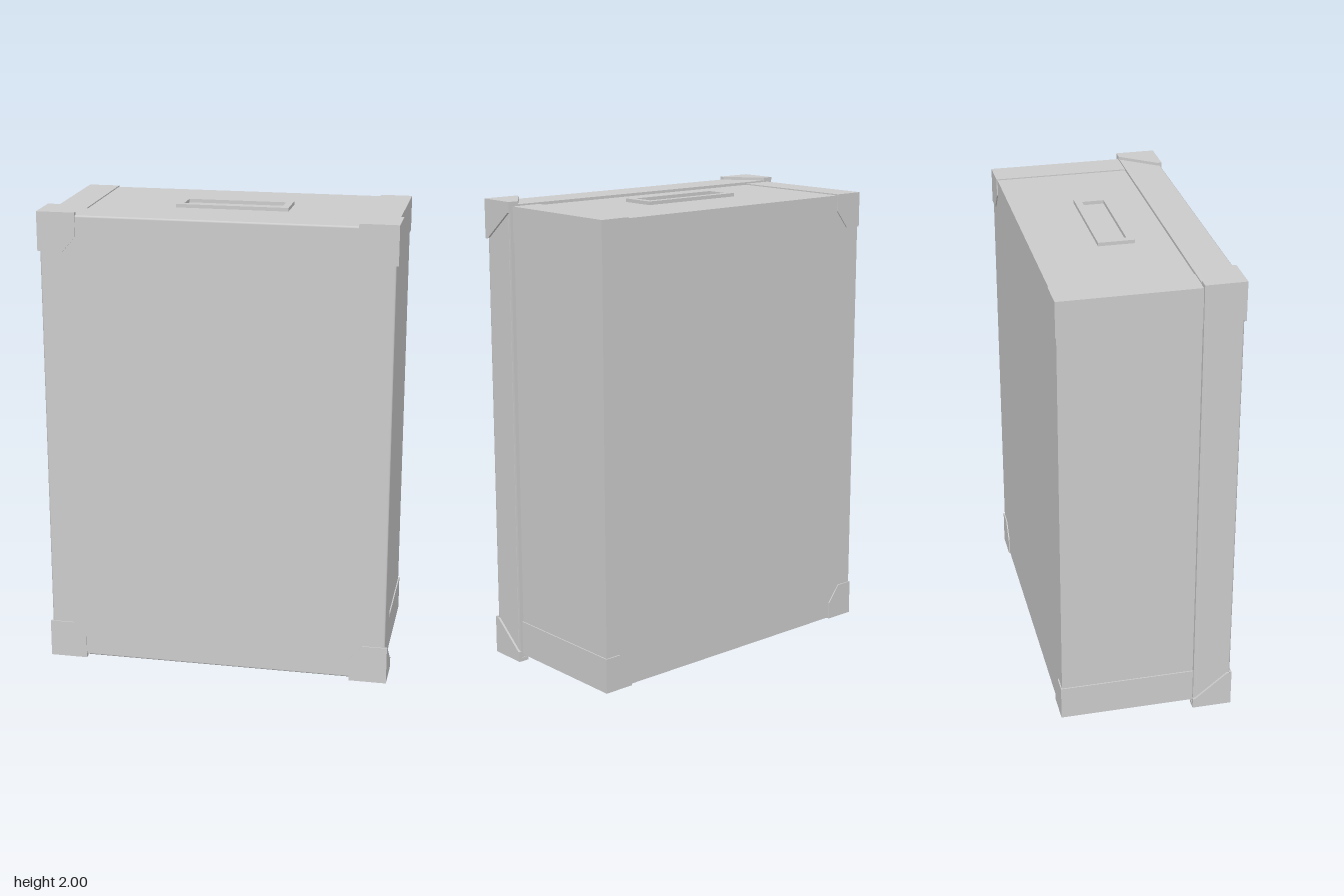
import * as THREE from 'three';
import { RoundedBoxGeometry } from 'three/addons/geometries/RoundedBoxGeometry.js';

const grey = new THREE.MeshStandardMaterial({ color: 0xcccccc });

function add(parent, name, geometry, x = 0, y = 0, z = 0) {
  const mesh = new THREE.Mesh(geometry, grey);
  mesh.name = name;
  mesh.position.set(x, y, z);
  parent.add(mesh);
  return mesh;
}

// Flat plate spanning from..to along one axis.
// Outline pairs are (x,y) for axis z, (z,y) for axis x and (x,z) for axis y.
function plate(axis, points, from, to, hole) {
  const toVectors = (list) => list.map(([a, b]) => new THREE.Vector2(a, b));
  const shape = new THREE.Shape(toVectors(points));
  if (hole) shape.holes.push(new THREE.Path(toVectors(hole)));
  const lo = Math.min(from, to), hi = Math.max(from, to);
  const g = new THREE.ExtrudeGeometry(shape, { depth: hi - lo, bevelEnabled: false });
  if (axis === 'z') return g.translate(0, 0, lo);
  if (axis === 'x') return g.rotateY(-Math.PI / 2).translate(hi, 0, 0);
  return g.rotateX(Math.PI / 2).translate(0, hi, 0);
}

const rect = (x0, x1, y0, y1) => [[x0, y0], [x1, y0], [x1, y1], [x0, y1]];

// Multiply an outline by a sign on each of its two axes
const flip = (points, a, b) => points.map(([p, q]) => [p * a, q * b]);

export function createModel() {
  const model = new THREE.Group();
  model.name = 'case';

  // Deep rear half of the case
  const body = new THREE.Group();
  body.name = 'body';
  body.position.y = 1.005;
  model.add(body);
  add(body, 'bodyShell', new THREE.BoxGeometry(1.44, 1.94, 0.585), 0, 0, -0.0775);

  // Shallow lid on the front
  const lid = new THREE.Group();
  lid.name = 'lid';
  lid.position.y = 1;
  model.add(lid);
  add(lid, 'lidShell', new RoundedBoxGeometry(1.475, 1.975, 0.155, 3, 0.008), 0, 0, 0.2875);
  add(lid, 'lidRim', plate('z', rect(-0.737, 0.737, -0.987, 0.987), 0.203, 0.23,
    rect(-0.719, 0.719, -0.969, 0.969)));

  // Corner guards, one set for each of the four corners
  const bodyBack = [[0.59, 0.975], [0.59, 0.9], [0.65, 0.825], [0.725, 0.825], [0.725, 0.975]];
  const lidFront = [[0.585, 1], [0.585, 0.9], [0.64, 0.835], [0.747, 0.835], [0.747, 1]];
  const lidSide = [[0.37, 1], [0.37, 0.84], [0.35, 0.84], [0.21, 0.955], [0.2, 0.955], [0.2, 1]];
  const lidEnd = [[0.585, 0.37], [0.585, 0.35], [0.7, 0.2], [0.747, 0.2], [0.747, 0.37]];
  for (const sx of [-1, 1]) {
    for (const sy of [-1, 1]) {
      const bodyCorner = new THREE.Group();
      bodyCorner.name = 'bodyCorner';
      body.add(bodyCorner);
      add(bodyCorner, 'backPlate', plate('z', flip(bodyBack, sx, sy), -0.375, -0.365));
      add(bodyCorner, 'sidePlate',
        plate('x', flip(rect(-0.375, 0.205, 0.825, 0.975), 1, sy), sx * 0.715, sx * 0.725));
      add(bodyCorner, 'endPlate',
        plate('y', flip(rect(0.59, 0.725, -0.375, 0.205), sx, 1), sy * 0.965, sy * 0.975));

      const lidCorner = new THREE.Group();
      lidCorner.name = 'lidCorner';
      lid.add(lidCorner);
      add(lidCorner, 'frontPlate', plate('z', flip(lidFront, sx, sy), 0.36, 0.37));
      add(lidCorner, 'sidePlate', plate('x', flip(lidSide, 1, sy), sx * 0.733, sx * 0.747));
      add(lidCorner, 'endPlate', plate('y', flip(lidEnd, sx, 1), sy * 0.983, sy * 1));
    }
  }

  // Raised grip frames on the top and the bottom
  for (const sy of [-1, 1]) {
    const y = 1 + sy * 0.99;
    add(model, sy > 0 ? 'topGrip' : 'bottomGrip',
      plate('y', rect(-0.23, 0.25, -0.1, 0.053), y - sy * 0.03, y,
        rect(-0.2, 0.22, -0.07, 0.023)));
  }
  return model;
}
